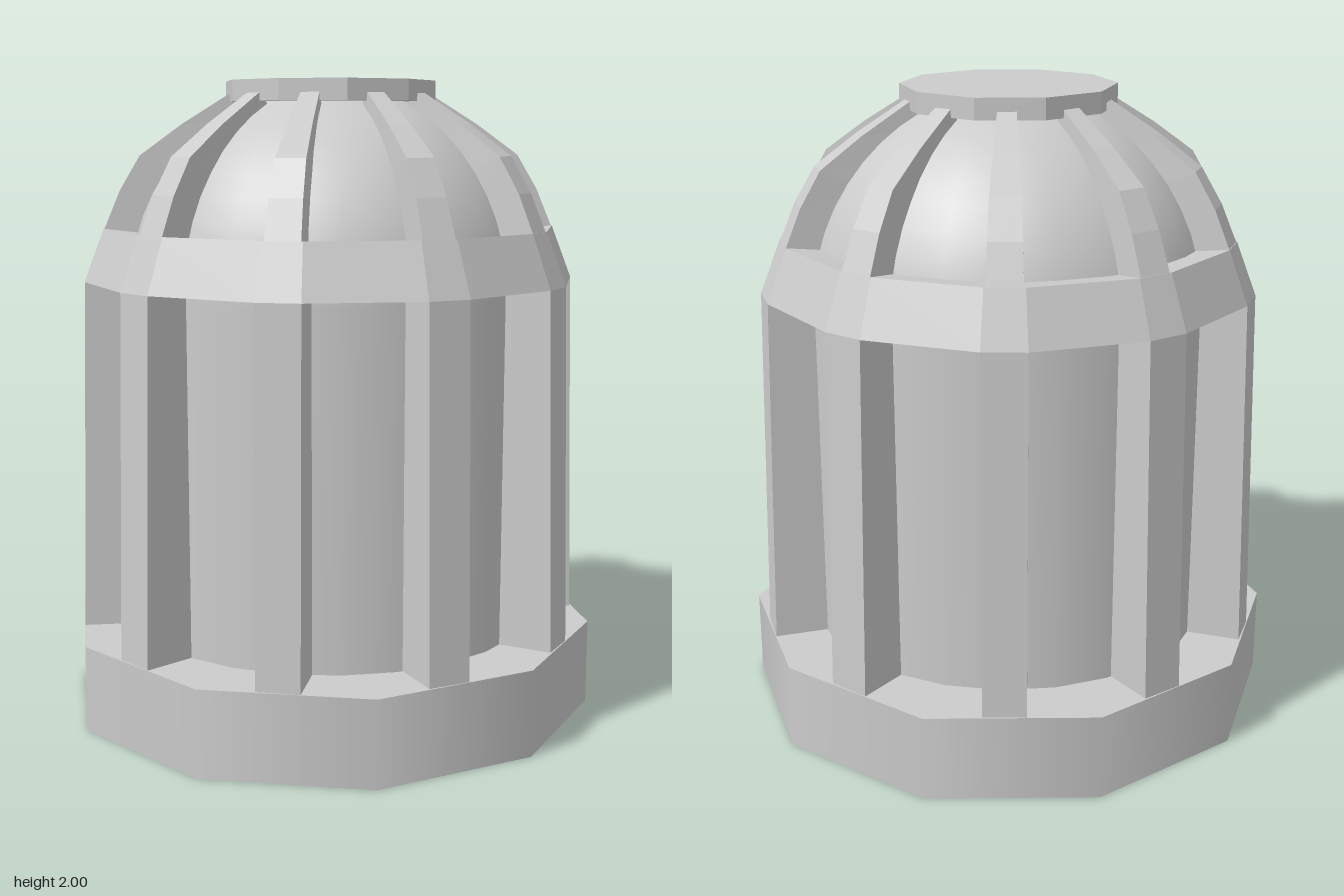
import * as THREE from 'three';

const COUNT = 10;
const STEP = (Math.PI * 2) / COUNT;

// Skins four-cornered cross-sections into a solid, or a closed loop
function loft(sections, closed = false) {
  const pos = [];
  const quad = (a, b, c, d) => [a, b, c, a, c, d].forEach((p) => pos.push(...p));
  const n = sections.length;
  for (let i = 0; i < (closed ? n : n - 1); i++) {
    const s = sections[i], e = sections[(i + 1) % n];
    for (let j = 0; j < 4; j++) {
      const k = (j + 1) % 4;
      quad(s[j], s[k], e[k], e[j]);
    }
  }
  if (!closed) {
    quad(...[...sections[0]].reverse());
    quad(...sections[n - 1]);
  }
  const geometry = new THREE.BufferGeometry();
  geometry.setAttribute('position', new THREE.Float32BufferAttribute(pos, 3));
  geometry.computeVertexNormals();
  return geometry;
}

export function createModel() {
  const smooth = new THREE.MeshStandardMaterial({ color: 0xcccccc });
  const flat = new THREE.MeshStandardMaterial({ color: 0xcccccc, flatShading: true });
  const model = new THREE.Group();
  model.name = 'cagedLamp';

  const add = (name, geometry, material, parent = model) => {
    const mesh = new THREE.Mesh(geometry, material);
    mesh.name = name;
    parent.add(mesh);
    return mesh;
  };

  // Ten-sided base and top cap
  add('base', new THREE.CylinderGeometry(0.85, 0.85, 0.27, COUNT), smooth).position.y = 0.135;
  add('topCap', new THREE.CylinderGeometry(0.335, 0.335, 0.065, COUNT), flat).position.y = 1.9675;

  // Domed glass bulb, ending inside the cap
  const profile = [new THREE.Vector2(0.645, 0.25)];
  for (let i = 0; i <= 10; i++) {
    const a = (i / 10) * 1.24;
    profile.push(new THREE.Vector2(0.645 * Math.cos(a), 1.35 + 0.645 * Math.sin(a)));
  }
  add('bulb', new THREE.LatheGeometry(profile, 24), smooth);

  // Cage, turned slightly against the base
  const cage = new THREE.Group();
  cage.name = 'cage';
  cage.rotation.y = -0.028;
  model.add(cage);

  // Rib stations: outer radius, outer y, inner radius, inner y, half width
  const stations = [
    [0.805, 0.25, 0.61, 0.25, 0.066],
    [0.778, 1.38, 0.61, 1.36, 0.066],
    [0.715, 1.54, 0.58, 1.49, 0.053],
    [0.665, 1.66, 0.51, 1.6, 0.049],
    [0.6, 1.77, 0.45, 1.7, 0.045],
    [0.47, 1.865, 0.37, 1.79, 0.037],
    [0.31, 1.965, 0.26, 1.88, 0.028],
  ];
  const ribGeometry = loft(stations.map(([ro, yo, ri, yi, w]) => [
    [ro, yo, w], [ro, yo, -w], [ri, yi, -w], [ri, yi, w],
  ]));
  for (let i = 0; i < COUNT; i++) {
    add('rib', ribGeometry, flat, cage).rotation.y = i * STEP;
  }

  // Thick band joining the ribs and reaching in to the bulb
  const band = [[0.778, 1.38, 0.066], [0.715, 1.545, 0.058], [0.59, 1.53, 0.058], [0.6, 1.38, 0.066]];
  const bandSections = [];
  for (let i = 0; i < COUNT; i++) {
    const c = Math.cos(i * STEP), s = Math.sin(i * STEP);
    for (const side of [-1, 1]) {
      bandSections.push(band.map(([r, y, w]) => [r * c - side * w * s, y, r * s + side * w * c]));
    }
  }
  add('band', loft(bandSections, true), flat, cage);

  return model;
}
